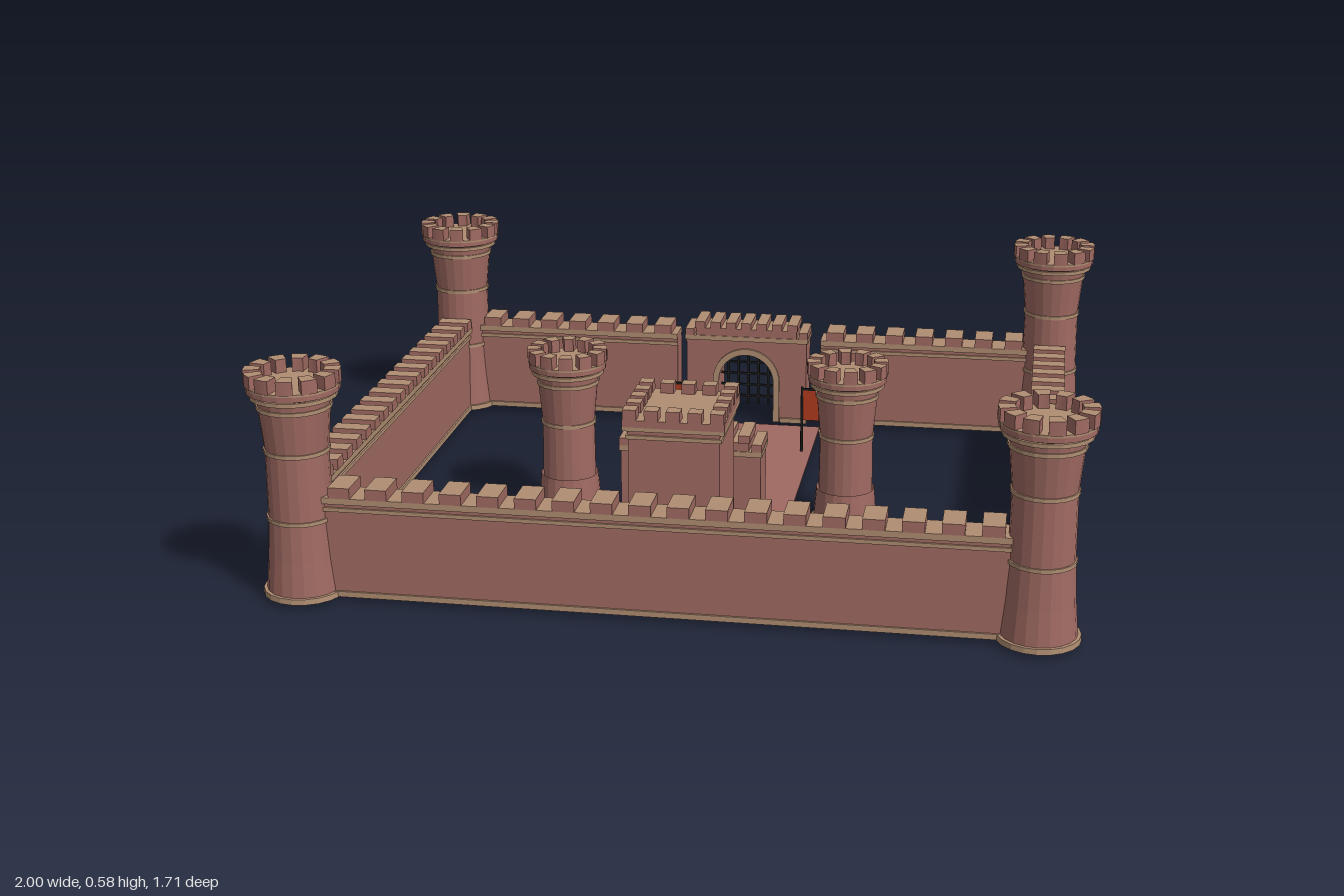
import * as THREE from 'three';

const mat = (name, color, extra = {}) => {
  const m = new THREE.MeshStandardMaterial({ color, ...extra });
  m.name = name;
  return m;
};

export function createModel() {
  const brick = mat('brick', 0xa06a62, { flatShading: true });
  const stone = mat('sandstone', 0xb08e72, { flatShading: true });
  const iron = mat('iron', 0x1c1a1a);
  const red = mat('banner red', 0xb03a1e, { side: THREE.DoubleSide });
  const shade = mat('slit shadow', 0x4a3029);
  const capped = [brick, brick, stone, stone, brick, brick]; // brick sides, stone top and bottom

  const castle = new THREE.Group();
  castle.name = 'castle';
  const group = (name, parent = castle) => {
    const g = new THREE.Group();
    g.name = name;
    parent.add(g);
    return g;
  };
  const add = (parent, name, geometry, material, x = 0, y = 0, z = 0) => {
    const m = new THREE.Mesh(geometry, material);
    m.name = name;
    m.position.set(x, y, z);
    parent.add(m);
    return m;
  };
  // box given by its centre in x and z and its bottom and top in y
  const box = (parent, name, material, w, d, y0, y1, x = 0, z = 0) =>
    add(parent, name, new THREE.BoxGeometry(w, y1 - y0, d), material, x, (y0 + y1) / 2, z);

  // one curved battlement block, extruded upward
  const sector = (r0, r1, a0, a1, h) => {
    const s = new THREE.Shape();
    s.absarc(0, 0, r1, a0, a1, false);
    s.absarc(0, 0, r0, a1, a0, true);
    s.closePath();
    const g = new THREE.ExtrudeGeometry(s, { depth: h, bevelEnabled: false, curveSegments: 3 });
    return g.rotateX(-Math.PI / 2);
  };

  // round tower; heights are measured down from the top
  const tower = (name, x, z, top, slim) => {
    const t = group(name);
    t.position.set(x, 0, z);
    const s = slim;
    const body = [
      [0.092 * s, 0.022], [0.084 * s, 0.11], [0.078 * s, top - 0.37], [0.076 * s, top - 0.2],
      [0.083 * s, top - 0.13], [0.089 * s, top - 0.07], [0.1 * s, top - 0.055], [0.112 * s, top - 0.052], [0.112 * s, top - 0.035],
    ].map(p => new THREE.Vector2(...p));
    add(t, 'towerBody', new THREE.LatheGeometry(body, 20), brick);
    add(t, 'towerFoot', new THREE.CylinderGeometry(0.1 * s, 0.101 * s, 0.014, 20), stone, 0, 0.018);
    [[0.37, 0.082], [0.2, 0.08], [0.09, 0.091], [0.062, 0.105]].forEach(([down, r]) =>
      add(t, 'towerBand', new THREE.CylinderGeometry(r * s, r * s, 0.01, 20), stone, 0, top - down));
    add(t, 'towerFloor', new THREE.CylinderGeometry(0.113 * s, 0.113 * s, 0.006, 20), stone, 0, top - 0.036);
    const n = 12, step = 2 * Math.PI / n;
    for (let i = 0; i < n; i++)
      add(t, 'towerMerlon', sector(0.076 * s, 0.115 * s, i * step, (i + 0.66) * step, 0.034), [stone, brick], 0, top - 0.034);
  };

  for (const x of [-0.885, 0.885])
    for (const z of [-0.74, 0.74]) tower('cornerTower', x, z, 0.578, 1);
  for (const x of [-0.37, 0.37]) tower('courtyardTower', x, 0.085, 0.456, 0.91);

  // straight wall running along local x, with cornice and battlements
  const wall = (name, length, x, z, turn = 0, pitch = 0.09) => {
    const w = group(name);
    w.position.set(x, 0, z);
    w.rotation.y = turn;
    box(w, 'wallBody', brick, length, 0.07, 0.022, 0.262);
    box(w, 'wallPlinth', stone, length, 0.08, 0.012, 0.026);
    box(w, 'wallLowerBand', stone, length, 0.08, 0.232, 0.242);
    box(w, 'wallCornice', stone, length, 0.086, 0.252, 0.268);
    const n = Math.round(length / pitch), step = length / n;
    for (let i = 0; i < n; i++)
      box(w, 'wallMerlon', capped, step * 0.58, 0.09, 0.268, 0.295, (i + 0.5) * step - length / 2);
    return w;
  };
  wall('frontWall', 1.64, 0, 0.735);
  for (const s of [-1, 1]) {
    wall('sideWall', 1.36, s * 0.885, 0, Math.PI / 2, 0.076);
    const w = wall('backWall', 0.61, s * 0.52, -0.74);
    // arrow slits on the outer face
    for (const x of [0.58, 0.735]) {
      const lx = s * (x - 0.52);
      box(w, 'slitFrame', stone, 0.03, 0.006, 0.1, 0.19, lx, -0.037);
      box(w, 'arrowSlit', shade, 0.018, 0.006, 0.107, 0.183, lx, -0.039);
    }
  }

  // arched outline standing on y = y0
  const archPath = (P, r, y0, spring) => {
    const p = new P();
    p.moveTo(r, y0);
    p.lineTo(r, spring);
    p.absarc(0, spring, r, 0, Math.PI, false);
    p.lineTo(-r, y0);
    return p;
  };
  const R = 0.082, SPRING = 0.135;
  const gate = (name, z) => {
    const g = group(name);
    g.position.set(-0.005, 0, z);
    const s = archPath(THREE.Shape, R, 0.012, SPRING);
    [[-0.18, 0.012], [-0.18, 0.262], [0.18, 0.262], [0.18, 0.012]].forEach(p => s.lineTo(...p));
    s.closePath();
    const geo = new THREE.ExtrudeGeometry(s, { depth: 0.1, bevelEnabled: false, curveSegments: 16 });
    add(g, 'gateBody', geo.translate(0, 0, -0.05), brick);
    // stone surround on both faces
    const ring = archPath(THREE.Shape, R + 0.018, 0.012, SPRING);
    ring.lineTo(-R, 0.012);
    ring.lineTo(-R, SPRING);
    ring.absarc(0, SPRING, R, Math.PI, 0, true);
    ring.lineTo(R, 0.012);
    ring.closePath();
    const trim = new THREE.ExtrudeGeometry(ring, { depth: 0.008, bevelEnabled: false, curveSegments: 16 });
    add(g, 'archTrim', trim, stone, 0, 0, 0.05);
    add(g, 'archTrim', trim, stone, 0, 0, -0.058);
    for (const side of [-1, 1]) box(g, 'gatePlinth', stone, 0.08, 0.112, 0.01, 0.024, side * 0.142);
    box(g, 'gateCornice', stone, 0.368, 0.11, 0.258, 0.272);
    box(g, 'gateParapet', capped, 0.3, 0.105, 0.272, 0.295);
    for (let i = -3; i <= 3; i++) box(g, 'gateMerlon', capped, 0.03, 0.114, 0.295, 0.315, i * 0.046);
    for (const side of [-1, 1]) box(g, 'gateEndMerlon', capped, 0.026, 0.11, 0.272, 0.292, side * 0.17);
    return g;
  };
  gate('innerGate', 0.256);
  const backGate = gate('backGate', -0.74);

  // portcullis in the outer gateway
  const grille = group('portcullis', backGate);
  for (let i = -2; i <= 2; i++) {
    const x = i * 0.03;
    box(grille, 'uprightBar', iron, 0.007, 0.007, 0.05, SPRING + Math.sqrt(R * R - x * x), x);
  }
  for (const y of [0.07, 0.105, 0.14, 0.175])
    box(grille, 'crossBar', iron, 2 * Math.sqrt(R * R - Math.max(0, y - SPRING) ** 2), 0.006, y, y + 0.006);

  // square keep behind the inner gate
  const keep = group('keep');
  keep.position.set(-0.003, 0, 0.44);
  box(keep, 'keepBody', brick, 0.225, 0.235, 0.02, 0.42);
  box(keep, 'keepFoot', stone, 0.24, 0.25, 0.01, 0.022);
  box(keep, 'keepLowerBand', stone, 0.236, 0.246, 0.38, 0.39);
  box(keep, 'keepUpperBand', stone, 0.25, 0.256, 0.402, 0.412);
  box(keep, 'keepParapet', capped, 0.25, 0.256, 0.412, 0.43);
  for (let i = 0; i < 5; i++) {
    const p = (i - 2) * 0.0535;
    for (const s of [-1, 1]) {
      box(keep, 'keepMerlon', capped, 0.034, 0.036, 0.43, 0.456, p, s * 0.11);
      if (i > 0 && i < 4) box(keep, 'keepMerlon', capped, 0.036, 0.034, 0.43, 0.456, s * 0.107, p);
    }
  }

  // paved courtyard strip
  box(castle, 'courtyardFloor', brick, 0.445, 0.885, 0.004, 0.01, -0.002, -0.222);

  // banners on poles
  for (const x of [-0.2, 0.192]) {
    const b = group('banner');
    b.position.set(x, 0, -0.445);
    add(b, 'bannerPole', new THREE.CylinderGeometry(0.004, 0.004, 0.205, 8), iron, 0, 0.1025);
    box(b, 'bannerCloth', red, 0.046, 0.004, 0.105, 0.195, 0.026);
    box(b, 'bannerRod', iron, 0.052, 0.007, 0.195, 0.201, 0.024);
  }
  return castle;
}
